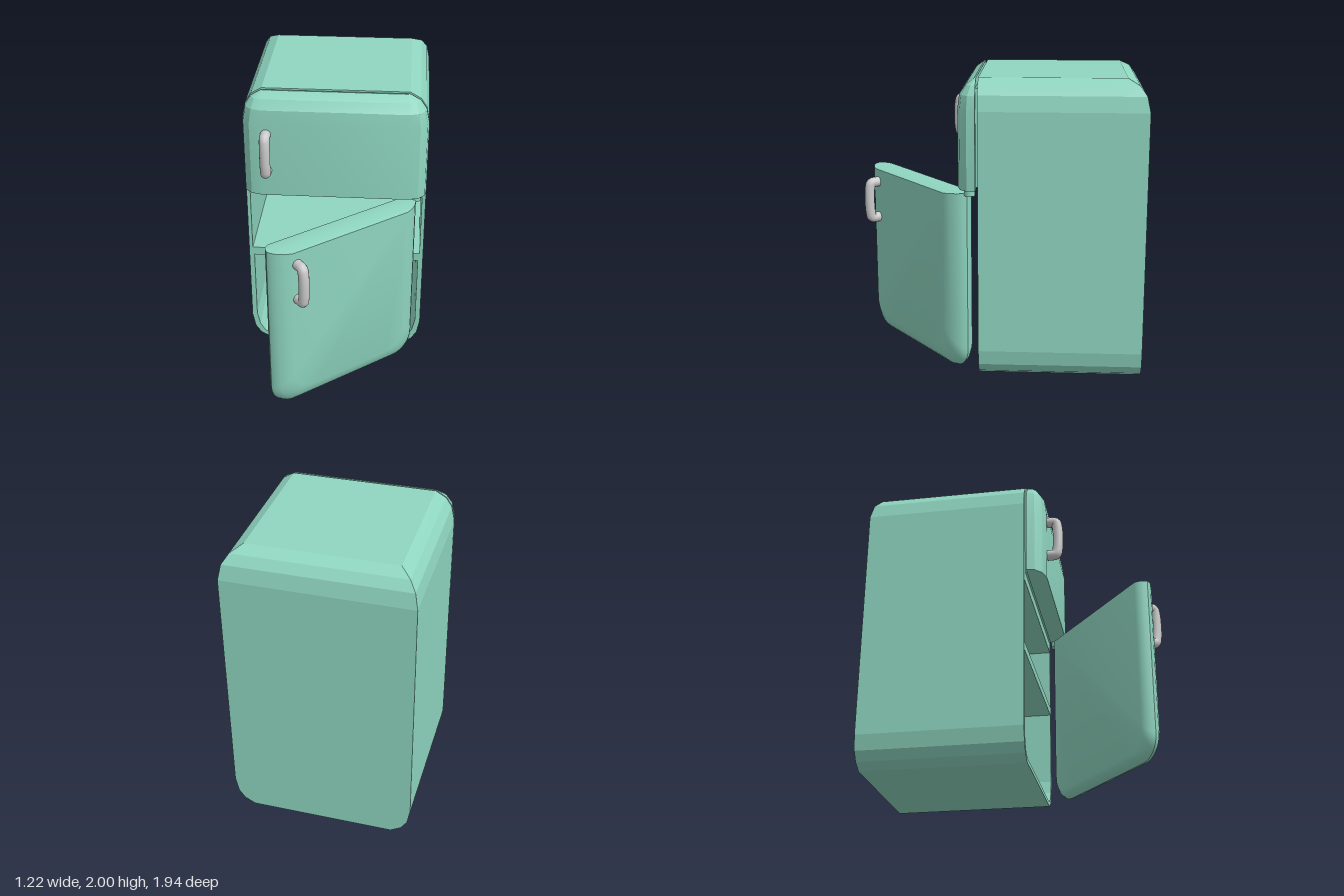
import * as THREE from 'three';
import { toCreasedNormals } from 'three/addons/utils/BufferGeometryUtils.js';

const mint = new THREE.MeshStandardMaterial({ color: 0x8fd6c0 });
const metal = new THREE.MeshStandardMaterial({ color: 0xcccccc });

// Half-width of the cabinet going into a rounded corner: [width, distance from the end]
const CORNER = [[0.61, 0.2], [0.59, 0.1], [0.55, 0.04], [0.48, 0]];

function mesh(name, geometry, material = mint) {
  const m = new THREE.Mesh(geometry, material);
  m.name = name;
  return m;
}

// Closed solid through convex rings of equal point count
function loft(rings, crease) {
  const n = rings[0].length, pos = [], idx = [];
  rings.forEach(r => r.forEach(p => pos.push(...p)));
  for (let i = 0; i < rings.length - 1; i++)
    for (let j = 0; j < n; j++) {
      const a = i * n + j, b = i * n + (j + 1) % n;
      idx.push(a, b, b + n, a, b + n, a + n);
    }
  const last = (rings.length - 1) * n;
  for (let j = 1; j < n - 1; j++) {
    idx.push(0, j + 1, j);
    idx.push(last, last + j, last + j + 1);
  }
  const g = new THREE.BufferGeometry();
  g.setAttribute('position', new THREE.Float32BufferAttribute(pos, 3));
  g.setIndex(idx);
  return toCreasedNormals(g, crease);
}

const path = pts => pts.map(([x, y]) => new THREE.Vector2(x, y));

// Front shell with two open compartments, separated by a shelf
function cabinetShell() {
  const right = [...CORNER.map(([w, d]) => [w, d]).reverse(), ...CORNER.map(([w, d]) => [w, 2 - d])];
  const left = right.map(([x, y]) => [-x, y]).reverse();
  const shape = new THREE.Shape(path([...right, ...left]));
  shape.holes.push(new THREE.Path(path([[-0.585, 0.78], [-0.585, 1.23], [0.585, 1.23], [0.585, 0.78]])));
  const low = [[0.575, 0.72], [0.575, 0.21], [0.555, 0.12], [0.52, 0.06], [0.46, 0.03]];
  shape.holes.push(new THREE.Path(path([...low, ...low.map(([x, y]) => [-x, y]).reverse()])));
  return new THREE.ExtrudeGeometry(shape, { depth: 0.94, bevelEnabled: false }).translate(0, 0, -0.83);
}

// Back of the cabinet: mitred rounding at the top, straight at the bottom
function cabinetBack() {
  const ring = (w, y, zb) => [[w, y, -0.83], [w, y, zb], [-w, y, zb], [-w, y, -0.83]];
  return loft([
    ...CORNER.map(([w, d]) => ring(w, d, -0.97)).reverse(),
    ...CORNER.map(([w, d]) => ring(w, 2 - d, -0.97 + (0.61 - w) * 1.05)),
  ], 0.1);
}

// Closed upper door with bevelled sides and top
function freezerDoor() {
  const back = 0.125;
  const ring = (w, y, front) => {
    const k = (front - back) / 0.12;
    const side = [[w - 0.13 * k, front], [w - 0.055 * k, back + 0.1 * k], [w - 0.01 * k, back + 0.055 * k], [w, back]];
    return [...side.map(([x, z]) => [x, y, z]), ...side.map(([x, z]) => [-x, y, z]).reverse()];
  };
  const fronts = [0.245, 0.232, 0.19, 0.135];
  return loft([ring(0.61, 1.285, 0.245), ...CORNER.map(([w, d], i) => ring(w, 1.995 - d, fronts[i]))], 0.3);
}

// Soft-edged lower door with round bottom corners and a flat top
function fridgeDoor() {
  const rows = [[0, 0.055], [0.015, 0.03], [0.04, 0.01], [0.07, 0], [0.1, 0.01],
    [0.13, 0.04], [0.155, 0.08], [0.17, 0.13]];
  const R = 0.15, steps = 8;
  return loft(rows.map(([z, inset]) => {
    const h = 0.577 - inset, bottom = 0.03 + inset, top = 1.258 - inset * 0.08;
    const pts = [[h, top, z], [-h, top, z]];
    for (const s of [-1, 1])
      for (let i = 0; i <= steps; i++) {
        const a = (s < 0 ? i : steps - i) / steps * Math.PI / 2;
        pts.push([s * (h - R + R * Math.cos(a)), bottom + R - R * Math.sin(a), z]);
      }
    return pts;
  }), 0.6);
}

// Bow handle: round bar bending into two feet
function handle(name, x, y, z) {
  const half = [[0.129, -0.02], [0.129, 0.02], [0.124, 0.058], [0.085, 0.07]];
  const pts = [...half, ...half.map(([py, pz]) => [-py, pz]).reverse()]
    .map(([py, pz]) => new THREE.Vector3(0, py, pz));
  const curve = new THREE.CatmullRomCurve3(pts, false, 'centripetal');
  const m = mesh(name, new THREE.TubeGeometry(curve, 48, 0.035, 14), metal);
  m.position.set(x, y, z);
  return m;
}

export function createModel() {
  const model = new THREE.Group();
  model.name = 'refrigerator';

  const cabinet = new THREE.Group();
  cabinet.name = 'cabinet';
  cabinet.add(mesh('cabinetShell', cabinetShell()), mesh('cabinetBack', cabinetBack()));

  // Seal between the cabinet and the upper door
  const seal = mesh('freezerSeal', new THREE.BoxGeometry(1.1, 0.64, 0.03));
  seal.position.set(0, 1.62, 0.118);

  const freezer = new THREE.Group();
  freezer.name = 'freezerDoor';
  freezer.add(mesh('freezerPanel', freezerDoor()), handle('freezerHandle', -0.445, 1.602, 0.245));

  // Pin between the two doors
  const hinge = mesh('hinge', new THREE.CylinderGeometry(0.035, 0.035, 0.045, 16));
  hinge.position.set(0.54, 1.268, 0.165);

  // Lower door, swung open
  const fridge = new THREE.Group();
  fridge.name = 'fridgeDoor';
  const panel = mesh('fridgePanel', fridgeDoor());
  panel.position.set(-0.275, 0, 0.405);
  fridge.add(panel, handle('fridgeHandle', -0.69, 1.03, 0.575));
  fridge.rotation.y = 0.672;

  model.add(cabinet, seal, freezer, hinge, fridge);
  return model;
}
